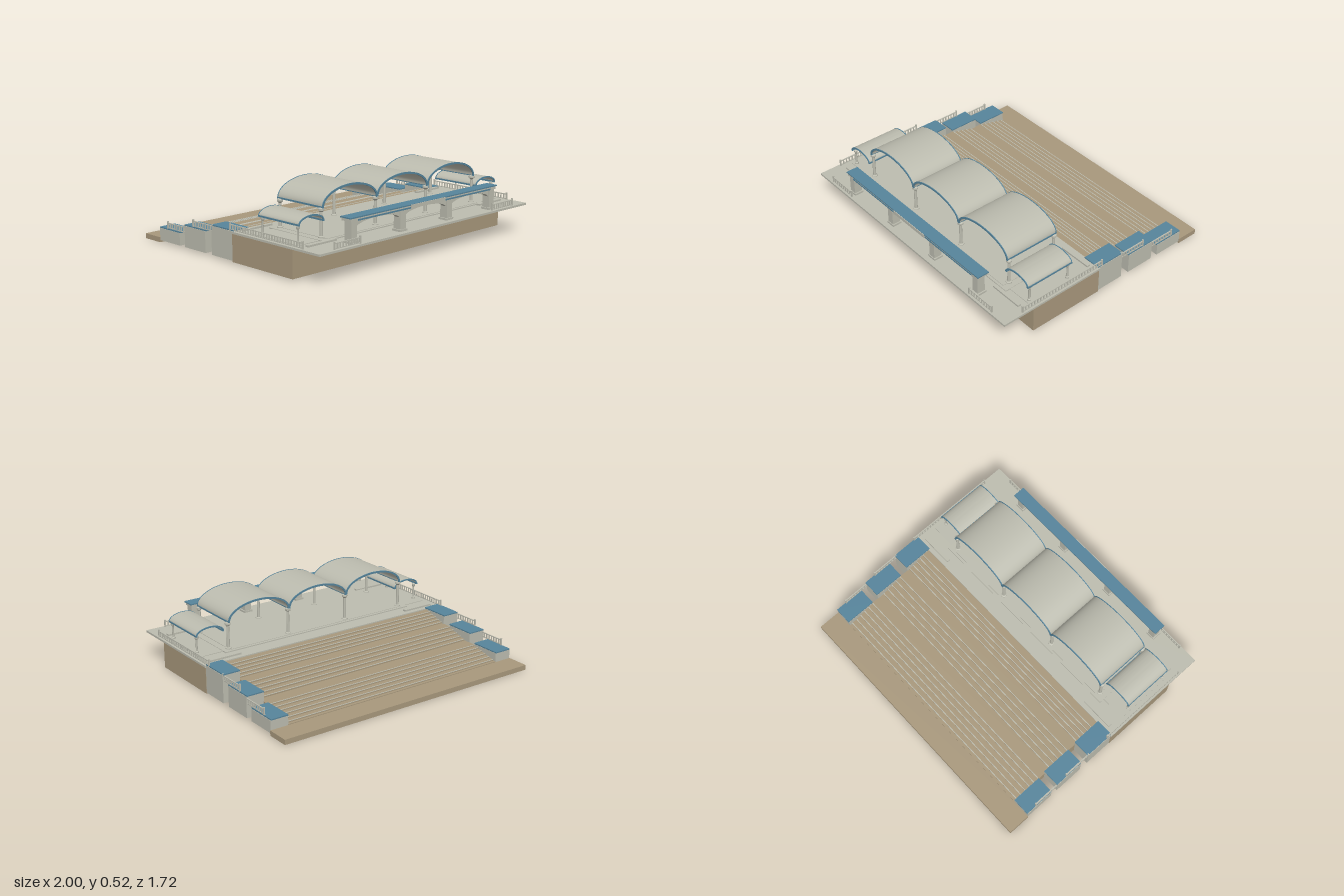
import * as THREE from 'three';
import { toCreasedNormals } from 'three/addons/utils/BufferGeometryUtils.js';

const mat = (name, color) => {
  const m = new THREE.MeshStandardMaterial({ color });
  m.name = name;
  return m;
};

export function createModel() {
  const root = new THREE.Group();
  root.name = 'riversideSteps';
  const earth = mat('tanStone', 0xa8987c);
  const stone = mat('paleStone', 0xbcbcaf);
  const blue = mat('blueTrim', 0x56849b);

  const add = (name, geo, material, parent = root) => {
    const m = new THREE.Mesh(geo, material);
    m.name = name;
    parent.add(m);
    return m;
  };
  // Box given by its limits on each axis
  const box = (name, material, x0, x1, y0, y1, z0, z1, parent = root) => {
    const m = add(name, new THREE.BoxGeometry(x1 - x0, y1 - y0, z1 - z0), material, parent);
    m.position.set((x0 + x1) / 2, (y0 + y1) / 2, (z0 + z1) / 2);
    return m;
  };

  // Foundation, deck and lowest landing
  box('foundation', earth, -0.995, 0.995, 0.008, 0.194, 0.06, 0.62);
  box('deck', stone, -1, 1, 0.194, 0.208, 0.055, 0.86);
  box('lowerLanding', earth, -0.995, 0.995, 0, 0.035, -0.86, -0.7);

  // Broad stair in three flights: [first riser, last riser, risers, top, bottom]
  const flights = [[0, 0.13, 5, 0.2, 0.15], [0.22, 0.38, 5, 0.15, 0.095], [0.485, 0.68, 6, 0.095, 0.04]];
  const profile = new THREE.Shape();
  profile.moveTo(-0.06, 0.008);
  profile.lineTo(0.7, 0.008);
  profile.lineTo(0.7, 0.04);
  for (const [u0, u1, n, top, bottom] of [...flights].reverse()) {
    const drop = (top - bottom) / n;
    for (let i = n - 1; i >= 0; i--) {
      const u = u0 + ((u1 - u0) * i) / (n - 1);
      const y = top - drop * i;
      profile.lineTo(u, y - drop);
      profile.lineTo(u, y);
      // Pale nosing on each tread edge
      box('stepNosing', stone, -0.86, 0.86, y - 0.002, y + 0.001, -u - 0.0008, -u + 0.005);
    }
  }
  profile.lineTo(-0.06, 0.2);
  const stairGeo = new THREE.ExtrudeGeometry(profile, { depth: 1.73, bevelEnabled: false });
  stairGeo.rotateY(Math.PI / 2).translate(-0.865, 0, 0);
  add('stairs', stairGeo, earth);

  // Railing of given length along x, centred on its origin
  const railing = (length, h = 0.042) => {
    const g = new THREE.Group();
    g.name = 'railing';
    const a = length / 2;
    box('topRail', stone, -a, a, h - 0.006, h, -0.004, 0.004, g);
    box('bottomRail', stone, -a, a, 0.004, 0.009, -0.003, 0.003, g);
    for (const s of [-a, a]) box('endPost', stone, s - 0.005, s + 0.005, 0, h + 0.009, -0.005, 0.005, g);
    const n = Math.round(length / 0.025);
    for (let i = 1; i < n; i++) {
      const x = -a + (length * i) / n;
      box('baluster', stone, x - 0.004, x + 0.004, 0.008, h - 0.005, -0.003, 0.003, g);
    }
    root.add(g);
    return g;
  };

  // Stepped side walls with blue caps: [back z, front z, top]
  const walls = [[-0.15, 0.06, 0.208], [-0.43, -0.215, 0.16], [-0.7, -0.485, 0.1]];
  // Side railings: [back z, front z, base]
  const rails = [[0.03, 0.7, 0.208], [-0.345, -0.145, 0.166], [-0.62, -0.425, 0.107]];
  for (const s of [-1, 1]) {
    for (const [z0, z1, top] of walls) {
      const wall = box('sideWall', stone, -0.065, 0.065, 0.015, top, z0, z1);
      wall.position.x = s * 0.927;
      const cap = box('wallCap', blue, -0.063, 0.063, top, top + 0.008, z0 - 0.003, z1 + 0.005);
      cap.position.x = s * 0.926;
    }
    for (const [z0, z1, y] of rails) {
      const r = railing(z1 - z0);
      r.rotation.y = Math.PI / 2;
      r.position.set(s * 0.985, y, (z0 + z1) / 2);
    }
    railing(0.22).position.set(s * 0.75, 0.208, 0.843);
    // Low benches on the deck
    for (const [x, z] of [[0.82, 0.102], [0.812, 0.68]]) {
      box('lowBench', stone, -0.12, 0.12, 0.208, 0.22, z - 0.013, z + 0.013).position.x = s * x;
    }
    box('sidePlinth', stone, -0.09, 0.09, 0.208, 0.212, 0.2, 0.625).position.x = s * 0.865;
  }
  box('mainPlinth', stone, -0.777, 0.777, 0.208, 0.215, 0.165, 0.66);
  box('plinthTop', stone, -0.73, 0.73, 0.215, 0.218, 0.185, 0.642);

  // Half-elliptic shell running along z
  const shell = (a, b, t, depth) => {
    const s = new THREE.Shape();
    s.absellipse(0, 0, a, b, 0, Math.PI, false, 0);
    s.lineTo(-a + t, 0);
    s.absellipse(0, 0, a - t, b - t, Math.PI, 0, true, 0);
    const g = new THREE.ExtrudeGeometry(s, { depth, bevelEnabled: false, curveSegments: 20 });
    return toCreasedNormals(g, 0.6);
  };
  const vault = (name, x, y, a, b, z0, z1, t) => {
    const g = new THREE.Group();
    g.name = name;
    g.position.set(x, y, 0);
    add('roofShell', shell(a - 0.002, b - 0.002, t, z1 - z0 - 0.01), stone, g).position.z = z0 + 0.005;
    for (const z of [z0, z1 - 0.006]) add('archTrim', shell(a, b, t + 0.004, 0.006), blue, g).position.z = z;
    for (const s of [-1, 1]) {
      box('eaveTrim', blue, -0.006, 0.006, -0.006, 0.005, z0, z1, g).position.x = s * (a - 0.005);
    }
    root.add(g);
  };
  for (const x of [-0.485, 0, 0.485]) vault('mainVault', x, 0.408, 0.245, 0.117, 0.195, 0.608, 0.009);
  for (const s of [-1, 1]) vault('sideCanopy', s * 0.838, 0.334, 0.107, 0.05, 0.255, 0.625, 0.006);

  // Round columns with base and capital
  const column = (x, z, top, r) => {
    const y0 = 0.208;
    const pts = [[0, y0], [r * 1.9, y0], [r * 1.9, y0 + 0.014], [r, y0 + 0.018], [r * 0.9, top - 0.028],
      [r * 1.8, top - 0.018], [r * 1.8, top - 0.006], [r, top], [0, top]];
    const geo = new THREE.LatheGeometry(pts.map(([a, b]) => new THREE.Vector2(a, b)), 12);
    add('column', toCreasedNormals(geo, 0.6), stone).position.set(x, 0, z);
  };
  for (const x of [-0.725, -0.243, 0.243, 0.725]) for (const z of [0.215, 0.59]) column(x, z, 0.405, 0.011);
  for (const x of [-0.93, 0.93]) for (const z of [0.28, 0.6]) column(x, z, 0.331, 0.007);

  // Front gateway: pillars, arched beam and blue-topped lintel
  const pillars = [-0.665, -0.225, 0.225, 0.665];
  for (const x of pillars) {
    box('gatePillar', stone, x - 0.025, x + 0.025, 0.2, 0.35, 0.758, 0.816);
    box('pillarFoot', stone, x - 0.034, x + 0.034, 0.18, 0.222, 0.753, 0.821);
  }
  const beam = new THREE.Shape();
  beam.moveTo(0.69, 0.352);
  beam.lineTo(-0.69, 0.352);
  beam.lineTo(-0.69, 0.3);
  for (let i = 0; i < 3; i++) {
    const a = pillars[i] + 0.025;
    const b = pillars[i + 1] - 0.025;
    beam.lineTo(a, 0.3);
    beam.bezierCurveTo(a + 0.03, 0.352, b - 0.03, 0.352, b, 0.3);
  }
  beam.lineTo(0.69, 0.3);
  const beamGeo = new THREE.ExtrudeGeometry(beam, { depth: 0.036, bevelEnabled: false, curveSegments: 16 });
  add('gateBeam', toCreasedNormals(beamGeo, 0.6), stone).position.z = 0.769;
  box('gateLintel', stone, -0.7, 0.7, 0.346, 0.365, 0.743, 0.822);
  box('gateRoof', blue, -0.708, 0.708, 0.365, 0.373, 0.738, 0.826);
  for (const s of [-1, 1]) {
    box('lintelStripe', blue, -0.237, 0.237, 0.346, 0.356, 0.822, 0.825).position.x = s * 0.402;
  }
  box('gatePlate', stone, -0.163, 0.163, 0.347, 0.371, 0.822, 0.831);

  return root;
}
